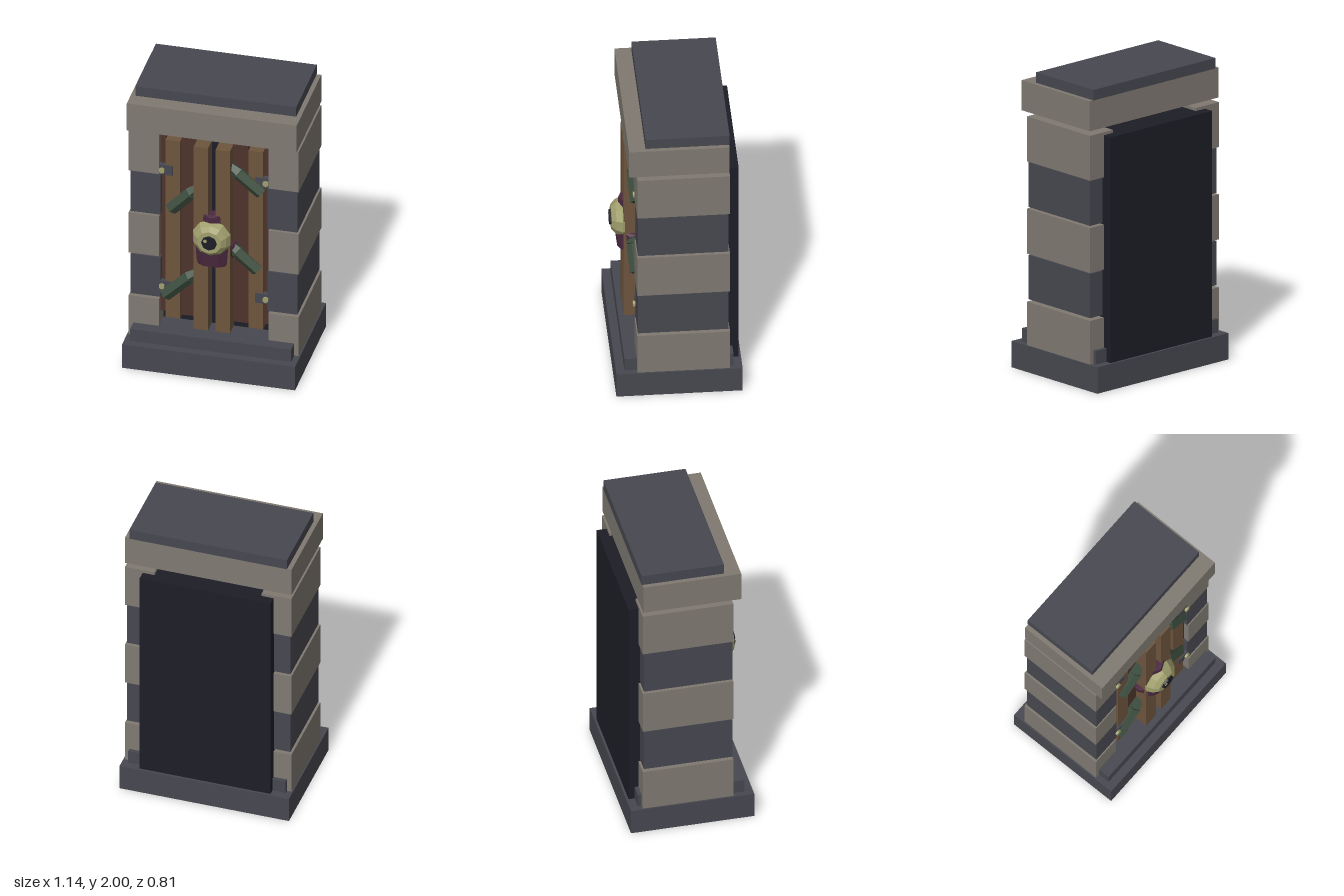
import * as THREE from 'three';
import { ConvexGeometry } from 'three/addons/geometries/ConvexGeometry.js';

const mat = (name, color) => {
  const m = new THREE.MeshStandardMaterial({ color, flatShading: true });
  m.name = name;
  return m;
};

export function createModel() {
  const stone = mat('light stone', 0x7f7971);
  const slate = mat('slate', 0x474750);
  const dark = mat('dark void', 0x1d1d27);
  const oak = mat('light wood', 0x6d553c);
  const redwood = mat('dark wood', 0x4e332c);
  const green = mat('tentacle green', 0x3c4d3e);
  const purple = mat('eyelid purple', 0x4a283f);
  const bone = mat('eye yellow', 0x9f9e6c);

  const model = new THREE.Group();
  model.name = 'enchantedDoor';
  const add = (name, geo, material, parent = model) => {
    const mesh = new THREE.Mesh(geo, material);
    mesh.name = name;
    parent.add(mesh);
    return mesh;
  };
  // Box given by its limits on each axis
  const box = (name, material, [x0, x1], [y0, y1], [z0, z1]) => {
    const m = add(name, new THREE.BoxGeometry(x1 - x0, y1 - y0, z1 - z0), material);
    m.position.set((x0 + x1) / 2, (y0 + y1) / 2, (z0 + z1) / 2);
    return m;
  };

  // Base, step, lintel, cap and dark backing
  box('base', slate, [-0.57, 0.57], [0, 0.175], [-0.405, 0.405]);
  box('step', slate, [-0.53, 0.53], [0.175, 0.265], [-0.35, 0.35]);
  box('lintel', stone, [-0.56, 0.56], [1.73, 1.93], [-0.322, 0.322]);
  box('cap', slate, [-0.53, 0.53], [1.93, 2], [-0.325, 0.215]);
  box('backPanel', dark, [-0.44, 0.44], [0.175, 1.68], [-0.39, 0.15]);

  // Alternating column blocks and mirrored planks
  const blocks = [[0.17, 0.465], [0.48, 0.775], [0.785, 1.085], [1.095, 1.395], [1.4, 1.7]];
  const planks = [
    [0.025, 0.12, 0.31, 1.67, 0.32, oak],
    [0.12, 0.22, 0.35, 1.69, 0.235, redwood],
    [0.225, 0.322, 0.33, 1.655, 0.255, oak],
    [0.325, 0.43, 0.36, 1.67, 0.23, redwood],
  ];
  for (const s of [-1, 1]) {
    const span = (a, b) => (s > 0 ? [a, b] : [-b, -a]);
    blocks.forEach((y, i) => {
      if (i % 2) box('slateBlock', slate, span(0.352, 0.55), y, [-0.315, 0.265]);
      else box('stoneBlock', stone, span(0.36, 0.56), y, [-0.325, 0.27]);
    });
    for (const [x0, x1, y0, y1, z, m] of planks) {
      box('plank', m, span(x0, x1), [y0, y1], [z - 0.11, z]);
    }
    // Hinge plates with studs
    for (const y of [0.565, 1.432]) {
      box('hingePlate', slate, span(0.272, 0.36), [y - 0.035, y + 0.035], [0.22, 0.265]);
      const stud = add('hingeStud', new THREE.CylinderGeometry(0.02, 0.02, 0.03, 6), bone);
      stud.rotation.x = Math.PI / 2;
      stud.position.set(s * 0.342, y, 0.265);
    }
  }

  // Tentacles: a thick bar, then a bend that tapers behind the middle planks
  const limb = (name, a, b, ra, rb, parent) => {
    const dir = b.clone().sub(a);
    const m = add(name, new THREE.CylinderGeometry(rb, ra, dir.length(), 5), green, parent);
    m.position.copy(a).add(b).multiplyScalar(0.5);
    m.quaternion.setFromUnitVectors(new THREE.Vector3(0, 1, 0), dir.normalize());
  };
  const tentacles = [
    [[-0.285, 1.145], [-0.155, 1.285], [-0.09, 1.345]],
    [[0.31, 1.35], [0.16, 1.48], [0.09, 1.53]],
    [[0.285, 0.77], [0.15, 0.895], [0.09, 0.95]],
    [[-0.325, 0.495], [-0.165, 0.655], [-0.09, 0.71]],
  ];
  for (const [a, b, c] of tentacles) {
    const g = new THREE.Group();
    g.name = 'tentacle';
    model.add(g);
    const [pa, pb, pc] = [[a, 0.25], [b, 0.26], [c, 0.25]].map(([p, z]) => new THREE.Vector3(...p, z));
    limb('tentacleBar', pa, pb, 0.045, 0.045, g);
    limb('tentacleTip', pb, pc, 0.045, 0.025, g);
  }

  // Faceted eyelids, mirrored from half outlines
  const hull = (name, half) => {
    const pts = half.flatMap(([x, y, z]) => [new THREE.Vector3(x, y, z), new THREE.Vector3(-x, y, z)]);
    add(name, new ConvexGeometry(pts), purple);
  };
  hull('upperEyelid', [
    [0.1, 1.06, 0.24], [0.1, 1.1, 0.3], [0.06, 1.175, 0.26], [0.055, 1.175, 0.32],
    [0.001, 1.165, 0.345], [0.001, 1.06, 0.35],
  ]);
  hull('lowerEyelid', [
    [0.145, 0.96, 0.24], [0.14, 0.94, 0.28], [0.13, 0.85, 0.25], [0.1, 0.81, 0.26],
    [0.09, 0.81, 0.33], [0.045, 0.81, 0.355], [0.1, 0.96, 0.33], [0.05, 0.93, 0.37],
  ]);

  // Eye: faceted dome, pupil and glint
  const eye = new THREE.Group();
  eye.name = 'eye';
  eye.position.set(0, 1.01, 0);
  model.add(eye);
  const profile = [[0, 0.25], [0.11, 0.25], [0.13, 0.325], [0.11, 0.365], [0.08, 0.393], [0, 0.393]];
  const dome = add('eyeball', new THREE.LatheGeometry(profile.map(p => new THREE.Vector2(...p)), 10), bone, eye);
  dome.rotation.x = Math.PI / 2;
  const pupil = add('pupil', new THREE.CylinderGeometry(0.048, 0.057, 0.03, 8), dark, eye);
  pupil.rotation.x = Math.PI / 2;
  pupil.position.z = 0.39;
  const glint = add('glint', new THREE.CylinderGeometry(0.013, 0.013, 0.006, 6), bone, eye);
  glint.rotation.x = Math.PI / 2;
  glint.position.set(-0.023, 0.018, 0.405);

  return model;
}
